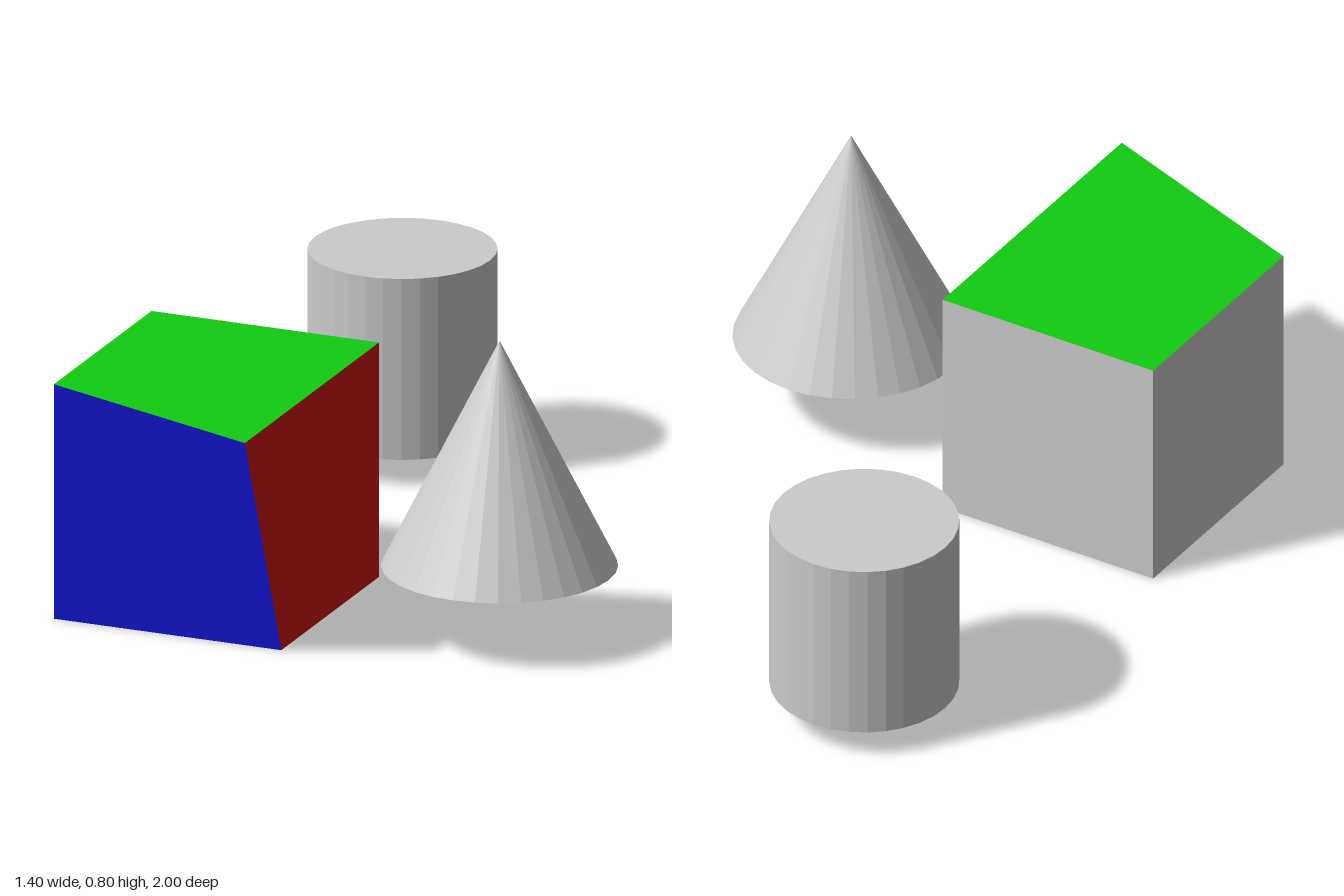
import * as THREE from 'three';

const paint = (color, flatShading = false) => new THREE.MeshStandardMaterial({ color, flatShading });

function part(name, geometry, material, x, y, z) {
  const mesh = new THREE.Mesh(geometry, material);
  mesh.name = name;
  mesh.position.set(x, y, z);
  return mesh;
}

// Cube with its top front corner on the +x side pulled forward
function skewedCubeGeometry(size, pull) {
  const geometry = new THREE.BoxGeometry(size, size, size);
  const p = geometry.attributes.position;
  for (let i = 0; i < p.count; i++) {
    if (p.getX(i) > 0 && p.getY(i) > 0 && p.getZ(i) > 0) p.setZ(i, p.getZ(i) + pull);
  }
  return geometry;
}

export function createModel() {
  const model = new THREE.Group();
  model.name = 'basicSolids';
  const grey = paint(0xcccccc);
  const facetedGrey = paint(0xcccccc, true);

  // Cube faces in the order +x, -x, +y, -y, +z, -z
  const faces = [paint(0xcc1212), grey, paint(0x12cc12), grey, paint(0x1212cc), grey];
  model.add(part('skewedCube', skewedCubeGeometry(0.63, 0.235), faces, -0.386, 0.315, 0.449));

  // Faceted round solids, floating slightly above the floor
  model.add(part('cone', new THREE.ConeGeometry(0.302, 0.604, 32), facetedGrey, 0.397, 0.494, 0.447));
  model.add(part('cylinder', new THREE.CylinderGeometry(0.242, 0.242, 0.486, 32), facetedGrey, -0.389, 0.318, -0.758));

  return model;
}
